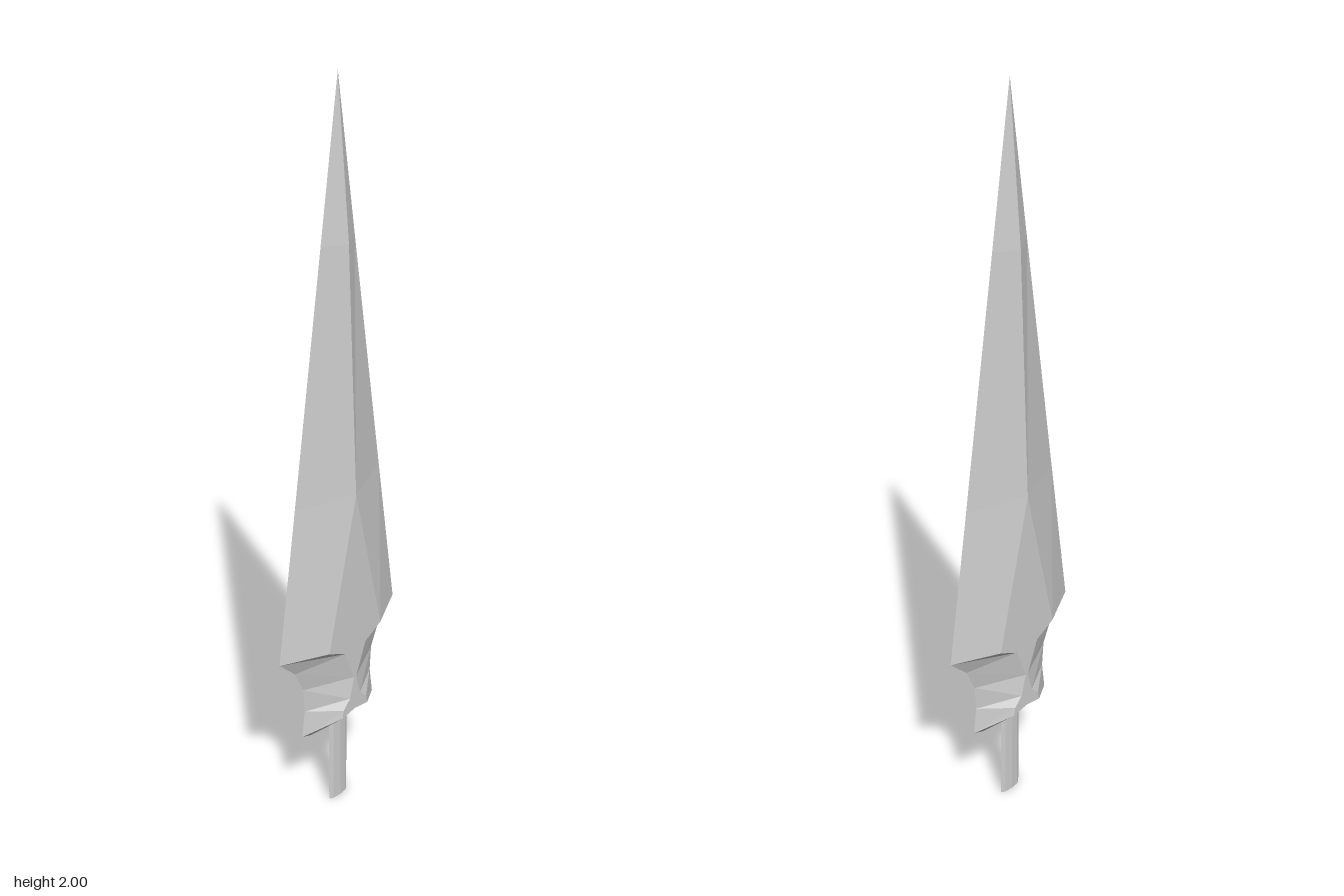
import * as THREE from 'three';

// Stations down one side: cutting edge (x, y) at z = 0, then the bevel's inner edge (x, y, z)
const STATIONS = [
  [0, 2, 0, 2, 0],
  [0.06, 1.6, 0, 1.6, 0.034],
  [0.158, 0.95, 0, 0.95, 0.06],
  [0.222, 0.53, 0.1, 0.53, 0.06],
  [0.165, 0.475, 0.04, 0.5, 0.06],
  [0.135, 0.41, 0.004, 0.41, 0.06],
  [0.13, 0.34, 0.02, 0.35, 0.06],
  [0.14, 0.265, 0.045, 0.325, 0.06],
  [0.105, 0.252, 0.05, 0.302, 0.06],
  [0, 0.275, 0, 0.31, 0.06],
];
const BASE_Y = 0.31;

// Bevel strip plus flat centre, mirrored into all four quarters
function bladeGeometry() {
  const positions = [];
  const triangle = (a, b, c, sx, sz) => {
    const [p, q, r] = [a, b, c].map((v) => new THREE.Vector3(v[0] * sx, v[1], v[2] * sz));
    const area = q.clone().sub(p).cross(r.clone().sub(p)).length();
    if (area < 1e-7) return;
    const order = sx * sz > 0 ? [p, q, r] : [p, r, q];
    order.forEach((v) => positions.push(v.x, v.y, v.z));
  };
  for (const sx of [1, -1]) {
    for (const sz of [1, -1]) {
      for (let i = 0; i < STATIONS.length - 1; i++) {
        const [upper, lower] = [STATIONS[i], STATIONS[i + 1]].map(([ex, ey, ix, iy, iz]) => [
          [ex, ey, 0],
          [ix, iy, iz],
          [0, Math.max(iy, BASE_Y), iz],
        ]);
        for (let k = 0; k < 2; k++) {
          triangle(upper[k], upper[k + 1], lower[k + 1], sx, sz);
          triangle(upper[k], lower[k + 1], lower[k], sx, sz);
        }
      }
    }
  }
  const geometry = new THREE.BufferGeometry();
  geometry.setAttribute('position', new THREE.Float32BufferAttribute(positions, 3));
  geometry.computeVertexNormals();
  return geometry;
}

export function createModel() {
  const group = new THREE.Group();
  group.name = 'spearhead';
  const material = new THREE.MeshStandardMaterial({ color: 0xcccccc, flatShading: true });

  // Faceted blade with notched shoulders
  const blade = new THREE.Mesh(bladeGeometry(), material);
  blade.name = 'blade';
  group.add(blade);

  // Flattened tang running up into the base
  const tangGeometry = new THREE.CylinderGeometry(0.035, 0.035, 0.3, 8);
  tangGeometry.scale(1, 1, 0.26);
  tangGeometry.translate(0, 0.15, 0);
  const tang = new THREE.Mesh(tangGeometry, material);
  tang.name = 'tang';
  group.add(tang);

  return group;
}
